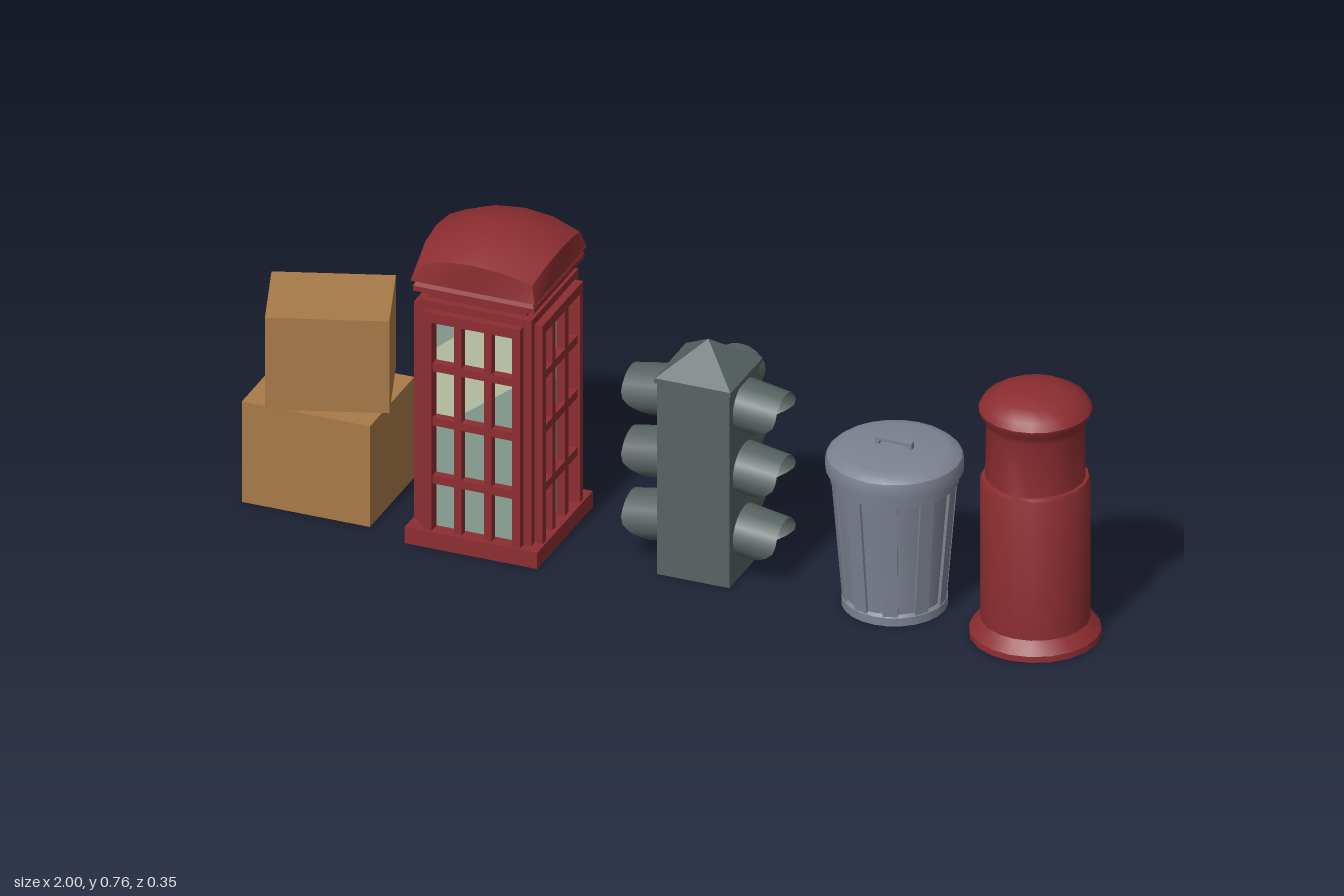
import * as THREE from 'three';
import { toCreasedNormals } from 'three/addons/utils/BufferGeometryUtils.js';
import { ParametricGeometry } from 'three/addons/geometries/ParametricGeometry.js';

const COLORS = {
  red: 0x8c2d30, cardboard: 0xa87a48, slate: 0x586262, steel: 0x7d8291, glass: 0x8fa59a,
  paleGlass: 0xc3cdac, gold: 0xa8853f, amber: 0xd08a28, green: 0x1f8038,
};
const M = {};
for (const [name, color] of Object.entries(COLORS)) {
  M[name] = new THREE.MeshStandardMaterial({ color, side: THREE.DoubleSide });
  M[name].name = name;
}

function add(parent, name, geometry, material, x = 0, y = 0, z = 0) {
  const mesh = new THREE.Mesh(geometry, material);
  mesh.name = name;
  mesh.position.set(x, y, z);
  parent.add(mesh);
  return mesh;
}
function group(parent, name, x = 0, z = 0, turn = 0) {
  const g = new THREE.Group();
  g.name = name;
  g.position.set(x, 0, z);
  g.rotation.y = turn;
  parent.add(g);
  return g;
}
const box = (w, h, d) => new THREE.BoxGeometry(w, h, d);
const lathe = (points, sides) => toCreasedNormals(
  new THREE.LatheGeometry(points.map(([r, y]) => new THREE.Vector2(r, y)), sides), 0.6);
const polygon = (points) => new THREE.ShapeGeometry(
  new THREE.Shape(points.map(([x, y]) => new THREE.Vector2(x, y))));

// Two stacked cartons, the lower one open underneath
function cartons(parent) {
  const g = group(parent, 'cartons');
  const open = box(0.305, 0.25, 0.252);
  open.setIndex(Array.from(open.index.array).filter((_, i) => i < 18 || i >= 24));
  add(g, 'lowerCarton', open, M.cardboard, -0.842, 0.126, 0.01);
  add(g, 'upperCarton', box(0.274, 0.228, 0.218), M.cardboard, -0.837, 0.368, 0.009).rotation.y = 0.33;
}

// Domed roof block: square plan, slightly bulged sides, arched edges
function roofGeometry() {
  const geo = new THREE.BoxGeometry(2, 1, 2, 4, 1, 4);
  const p = geo.attributes.position;
  for (let i = 0; i < p.count; i++) {
    const u = p.getX(i), v = p.getZ(i);
    const top = p.getY(i) > 0;
    const arch = (t) => Math.max(0, 1 - Math.abs(t) ** 2.1);
    const y = top ? 0.69 + 0.027 * (arch(u) + arch(v)) + 0.016 * arch(u) * arch(v) : 0.65;
    const half = (t) => (top ? 0.137 + 0.011 * arch(t) : 0.148);
    p.setXYZ(i, u * half(v), y, v * half(u));
  }
  geo.computeVertexNormals();
  return toCreasedNormals(geo, 0.5);
}

function phoneBooth(parent) {
  const g = group(parent, 'phoneBooth', -0.433, 0.0165);
  add(g, 'plinth', box(0.316, 0.04, 0.316), M.red, 0, 0.02, 0);
  add(g, 'lintel', box(0.268, 0.03, 0.268), M.red, 0, 0.585, 0);
  add(g, 'neck', box(0.232, 0.03, 0.232), M.red, 0, 0.612, 0);
  const r = Math.SQRT2;
  const cornice = new THREE.CylinderGeometry(0.138 * r, 0.144 * r, 0.014, 4, 1).rotateY(Math.PI / 4);
  add(g, 'cornice', toCreasedNormals(cornice, 0.5), M.red, 0, 0.642, 0);
  add(g, 'corniceLip', box(0.288, 0.012, 0.288), M.red, 0, 0.63, 0);
  add(g, 'roof', roofGeometry(), M.red);
  const bars = [0.445, 0.31, 0.166];
  for (let k = 0; k < 4; k++) {
    const s = group(g, 'boothSide', 0, 0, k * Math.PI / 2);
    add(s, 'cornerPost', box(0.034, 0.54, 0.034), M.red, 0.117, 0.31, 0.117);
    // Raised frame with mullions and glazing bars
    for (const x of [-1, 1]) {
      add(s, 'frameUpright', box(0.019, 0.542, 0.036), M.red, x * 0.1055, 0.311, 0.135);
      add(s, 'mullion', box(0.018, 0.53, 0.02), M.red, x * 0.036, 0.305, 0.137);
    }
    add(s, 'frameTop', box(0.23, 0.024, 0.036), M.red, 0, 0.57, 0.135);
    for (const y of bars) add(s, 'glazingBar', box(0.2, 0.02, 0.02), M.red, 0, y, 0.137);
    // Panes with a pale diagonal reflection
    add(s, 'glassPane', new THREE.PlaneGeometry(0.2, 0.53), M.glass, 0, 0.3, 0.123);
    add(s, 'glassReflection', polygon([[-0.1, 0.28], [0.1, 0.43], [0.1, 0.56], [0, 0.56], [-0.1, 0.48]]),
      M.paleGlass, 0, 0, 0.125);
  }
}

// Hood longest at the top and cut back underneath
function visorGeometry() {
  return new ParametricGeometry((u, v, out) => {
    const a = u * Math.PI * 2 - Math.PI / 2;
    const s = Math.sin(a);
    const len = 0.015 + 0.083 * Math.sin(Math.PI / 2 * Math.min(1, (s + 1) / 1.3));
    const t = v * len;
    out.set(Math.cos(a) * (0.067 - t * 0.06), s * 0.057 - t * 0.16, t);
  }, 20, 3);
}

function trafficLight(parent) {
  const g = group(parent, 'trafficLight', 0.063, 0.008);
  add(g, 'housing', box(0.172, 0.48, 0.172), M.slate, 0, 0.24, 0);
  add(g, 'capRim', box(0.182, 0.012, 0.182), M.slate, 0, 0.482, 0);
  const cap = new THREE.ConeGeometry(0.091 * Math.SQRT2, 0.074, 4).rotateY(Math.PI / 4);
  add(g, 'cap', toCreasedNormals(cap, 0.3), M.slate, 0, 0.524, 0);
  const visor = visorGeometry();
  const lens = new THREE.CircleGeometry(1, 20).scale(0.063, 0.054, 1);
  for (const turn of [Math.PI / 2, Math.PI, -Math.PI / 2]) {
    const s = group(g, 'signalSide', 0, 0, turn);
    [[M.red, 0.418], [M.amber, 0.262], [M.green, 0.106]].forEach(([mat, y]) => {
      add(s, 'visor', visor, M.slate, 0, y, 0.086);
      add(s, 'lens', lens, mat, 0, y, 0.09);
    });
  }
}

function dustbin(parent) {
  const g = group(parent, 'dustbin', 0.508, 0.011);
  add(g, 'binBody', lathe([[0, 0.03], [0.104, 0.03], [0.104, 0], [0.118, 0], [0.118, 0.02], [0.111, 0.026],
    [0.134, 0.302], [0.142, 0.306], [0.144, 0.335]], 24), M.steel);
  const tilt = Math.atan(0.023 / 0.276);
  for (let i = 0; i < 10; i++) {
    const s = group(g, 'binSide', 0, 0, (i + 0.5) * Math.PI / 5);
    add(s, 'binRib', box(0.034, 0.29, 0.01), M.steel, 0, 0.164, 0.122).rotation.x = tilt;
  }
  add(g, 'lid', lathe([[0.144, 0.328], [0.152, 0.332], [0.154, 0.352], [0.15, 0.368], [0.136, 0.38],
    [0.118, 0.384], [0.06, 0.388], [0, 0.389]], 24), M.steel);
  // Lid handle
  add(g, 'handleBar', box(0.086, 0.007, 0.016), M.steel, 0, 0.4, 0);
  for (const x of [-1, 1]) add(g, 'handleFoot', box(0.009, 0.02, 0.016), M.steel, x * 0.0385, 0.392, 0);
}

function postBox(parent) {
  const g = group(parent, 'postBox', 0.848, 0.0225);
  add(g, 'pillar', lathe([[0.13, 0], [0.147, 0], [0.146, 0.014], [0.126, 0.038], [0.122, 0.042], [0.122, 0.382],
    [0.118, 0.391], [0.111, 0.392], [0.109, 0.52], [0.113, 0.536], [0.124, 0.55], [0.126, 0.56],
    [0.115, 0.578], [0.085, 0.596], [0.045, 0.606], [0, 0.61]], 20), M.red);
  add(g, 'pillarInside', lathe([[0.13, 0], [0.119, 0.04], [0.119, 0.38]], 20), M.red);
  // Fittings on the back: round mouth with a hood, notice plate and collection box
  const b = group(g, 'postFittings', 0, 0, Math.PI);
  const drum = new THREE.CylinderGeometry(0.056, 0.062, 0.07, 18, 1, true).rotateX(Math.PI / 2);
  add(b, 'mouthDrum', drum, M.red, 0, 0.46, 0.106);
  add(b, 'mouthFace', new THREE.CircleGeometry(0.058, 18), M.red, 0, 0.46, 0.132);
  add(b, 'mouthSlot', box(0.066, 0.024, 0.004), M.slate, 0, 0.46, 0.133);
  const hood = add(b, 'mouthHood', box(0.082, 0.008, 0.034), M.red, 0, 0.482, 0.148);
  hood.rotation.x = 0.3;
  for (const x of [-1, 1]) add(b, 'hoodCheek', box(0.006, 0.018, 0.026), M.red, x * 0.038, 0.475, 0.144);
  add(b, 'noticePlate', box(0.078, 0.048, 0.008), M.gold, 0, 0.342, 0.121);
  add(b, 'collectionBox', box(0.086, 0.088, 0.045), M.red, 0, 0.26, 0.115);
  add(b, 'boxLabel', box(0.034, 0.014, 0.004), M.gold, 0, 0.27, 0.139);
}

export function createModel() {
  const model = new THREE.Group();
  model.name = 'streetFurniture';
  cartons(model);
  phoneBooth(model);
  trafficLight(model);
  dustbin(model);
  postBox(model);
  return model;
}
